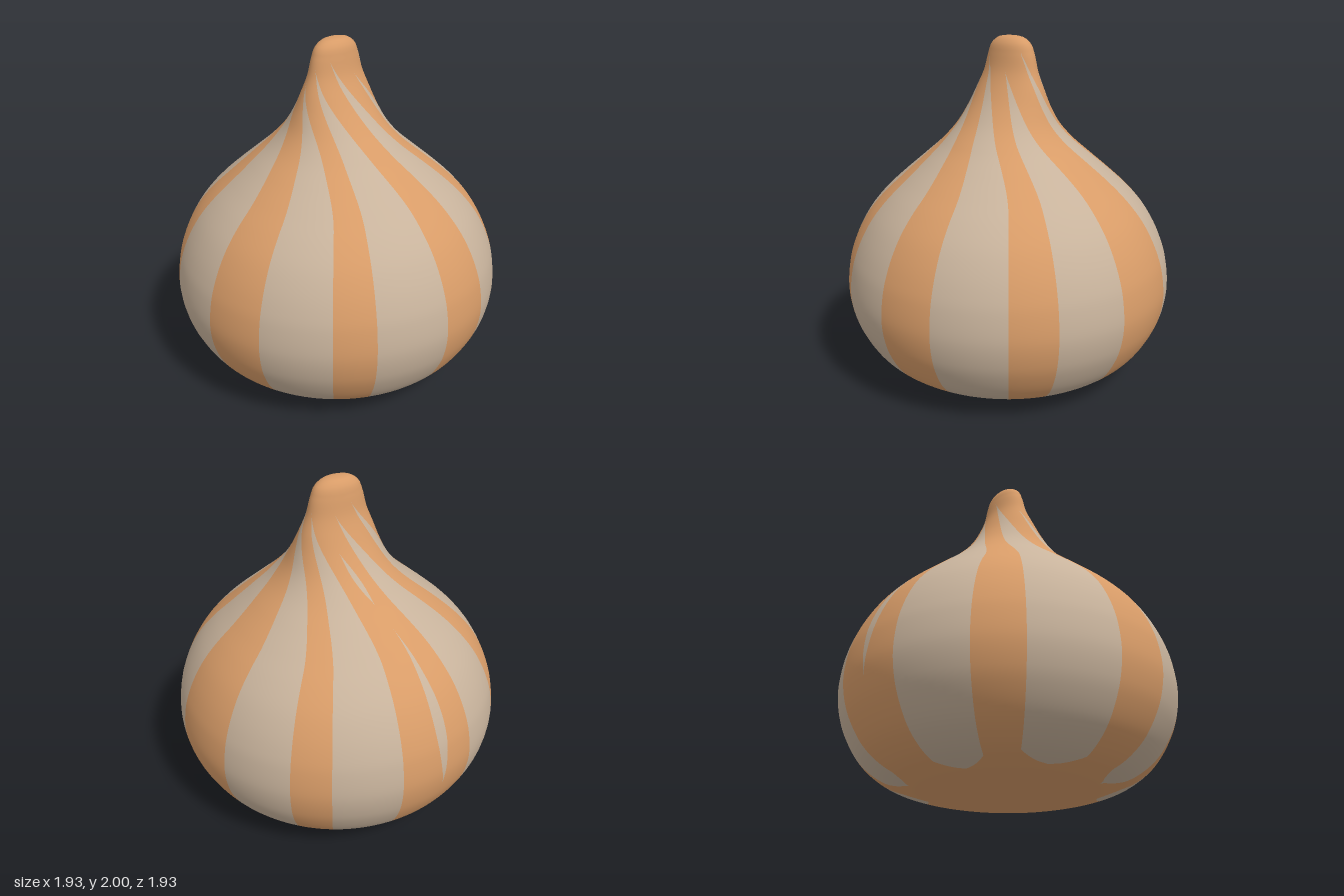
import * as THREE from 'three';

const RAD = Math.PI / 180;
const clamp01 = (v) => Math.min(1, Math.max(0, v));

// Bulb outline from the base centre to the tip: radius, height
const outline = new THREE.CatmullRomCurve3([
  [0, 0], [0.25, 0.004], [0.42, 0.015], [0.55, 0.032], [0.69, 0.075], [0.785, 0.135], [0.85, 0.2],
  [0.912, 0.3], [0.952, 0.4], [0.974, 0.54], [0.957, 0.7], [0.927, 0.8], [0.882, 0.9], [0.82, 1.0],
  [0.733, 1.1], [0.623, 1.2], [0.505, 1.3], [0.39, 1.4], [0.3, 1.5], [0.238, 1.6], [0.19, 1.7],
  [0.148, 1.8], [0.124, 1.9], [0.105, 1.955], [0.065, 1.99], [0, 2],
].map(([r, y]) => new THREE.Vector3(r, y, 0)));
const ROWS = 140;
outline.arcLengthDivisions = 600;

// Point on the skin: the neck twists and flattens toward the tip
function skinPoint(angle, u) {
  const { x: r, y } = outline.getPointAt(clamp01(u));
  const a = (angle - 70 * clamp01((y - 1.15) / 0.75) ** 2) * RAD;
  const flat = THREE.MathUtils.smoothstep(y, 1.4, 1.9);
  const x = r * Math.sin(a), z = r * Math.cos(a);
  const along = (x * 0.78 - z * 0.62) * (1 + 0.27 * flat);
  const across = (x * 0.62 + z * 0.78) * (1 - 0.27 * flat);
  return new THREE.Vector3(
    along * 0.78 + across * 0.62 - 0.005 * flat, y, -along * 0.62 + across * 0.78 - 0.02 * flat);
}

function skinNormal(angle, u) {
  if (u < 0.002) return new THREE.Vector3(0, -1, 0);
  if (u > 0.998) return new THREE.Vector3(0, 1, 0);
  const e = 0.002;
  const around = skinPoint(angle + 0.5, u).sub(skinPoint(angle - 0.5, u));
  const upward = skinPoint(angle, u + e).sub(skinPoint(angle, u - e));
  return around.cross(upward).normalize();
}

// A light band: narrows to a point on the neck and ends rounded under the base
const band = (centre, half, top, baseRadius) => ({
  centre,
  half: (r, y) => {
    const neck = 1 - clamp01((y - 1.1) / (top - 1.1)) ** 2.5;
    const base = y < 0.3 ? Math.sqrt(clamp01((r - baseRadius) / 0.1)) : 1;
    return half * neck * base;
  },
});
const bump = (y, low, high) => Math.sin(Math.PI * clamp01((y - low) / (high - low)));
const bands = [
  band(22, 13, 1.84, 0.54),
  band(67.5, 12.5, 1.88, 0.58),
  band(107.5, 12, 1.8, 0.56),
  band(160, 12.5, 1.92, 0.52),
  band(197.7, 11.7, 1.82, 0.57),
  // Thin slits inside the wide back stripe
  { centre: 225.5, half: (r, y) => 2.3 * bump(y, 0.48, 1.27) + 3.2 * bump(y, 1.39, 1.62) },
  band(251.5, 12.5, 1.8, 0.54),
  band(295, 15, 1.86, 0.58),
  band(343, 12, 1.76, 0.55),
];

// Patches between a left and a right edge angle, joined into one geometry
function patches(edgePairs, columns) {
  const positions = [], normals = [], index = [];
  for (const [left, right] of edgePairs) {
    const start = positions.length / 3;
    const widths = [];
    for (let i = 0; i <= ROWS; i++) {
      const u = i / ROWS;
      const { x: r, y } = outline.getPointAt(u);
      const a = left(r, y), b = right(r, y);
      widths.push(b - a);
      for (let j = 0; j <= columns; j++) {
        const angle = a + (b - a) * j / columns;
        positions.push(...skinPoint(angle, u).toArray());
        normals.push(...skinNormal(angle, u).toArray());
      }
    }
    for (let i = 0; i < ROWS; i++) {
      for (let j = 0; j < columns; j++) {
        const p = start + i * (columns + 1) + j, q = p + columns + 1;
        if (widths[i] > 1e-4 && i > 0) index.push(p, p + 1, q + 1);
        else if (widths[i + 1] > 1e-4 && i === 0) index.push(p, q + 1, q);
        if (widths[i + 1] > 1e-4 && i > 0 && i < ROWS - 1) index.push(p, q + 1, q);
      }
    }
  }
  const geometry = new THREE.BufferGeometry();
  geometry.setAttribute('position', new THREE.Float32BufferAttribute(positions, 3));
  geometry.setAttribute('normal', new THREE.Float32BufferAttribute(normals, 3));
  geometry.setIndex(index);
  return geometry;
}

export function createModel() {
  const orange = new THREE.MeshStandardMaterial({ color: 0xd89c68 });
  orange.name = 'orange';
  const cream = new THREE.MeshStandardMaterial({ color: 0xc8b39c });
  cream.name = 'cream';

  const leftEdge = (b) => (r, y) => b.centre - b.half(r, y);
  const rightEdge = (b) => (r, y) => b.centre + b.half(r, y);
  const lightPairs = bands.map((b) => [leftEdge(b), rightEdge(b)]);
  const stripePairs = bands.map((b, i) => {
    const next = bands[(i + 1) % bands.length];
    const turn = i === bands.length - 1 ? 360 : 0;
    return [rightEdge(b), (r, y) => leftEdge(next)(r, y) + turn];
  });

  const group = new THREE.Group();
  group.name = 'bulb';
  // Orange stripes, base and tip
  const stripes = new THREE.Mesh(patches(stripePairs, 8), orange);
  stripes.name = 'stripes';
  // Light skin between the stripes
  const skin = new THREE.Mesh(patches(lightPairs, 6), cream);
  skin.name = 'lightSkin';
  group.add(stripes, skin);
  return group;
}
